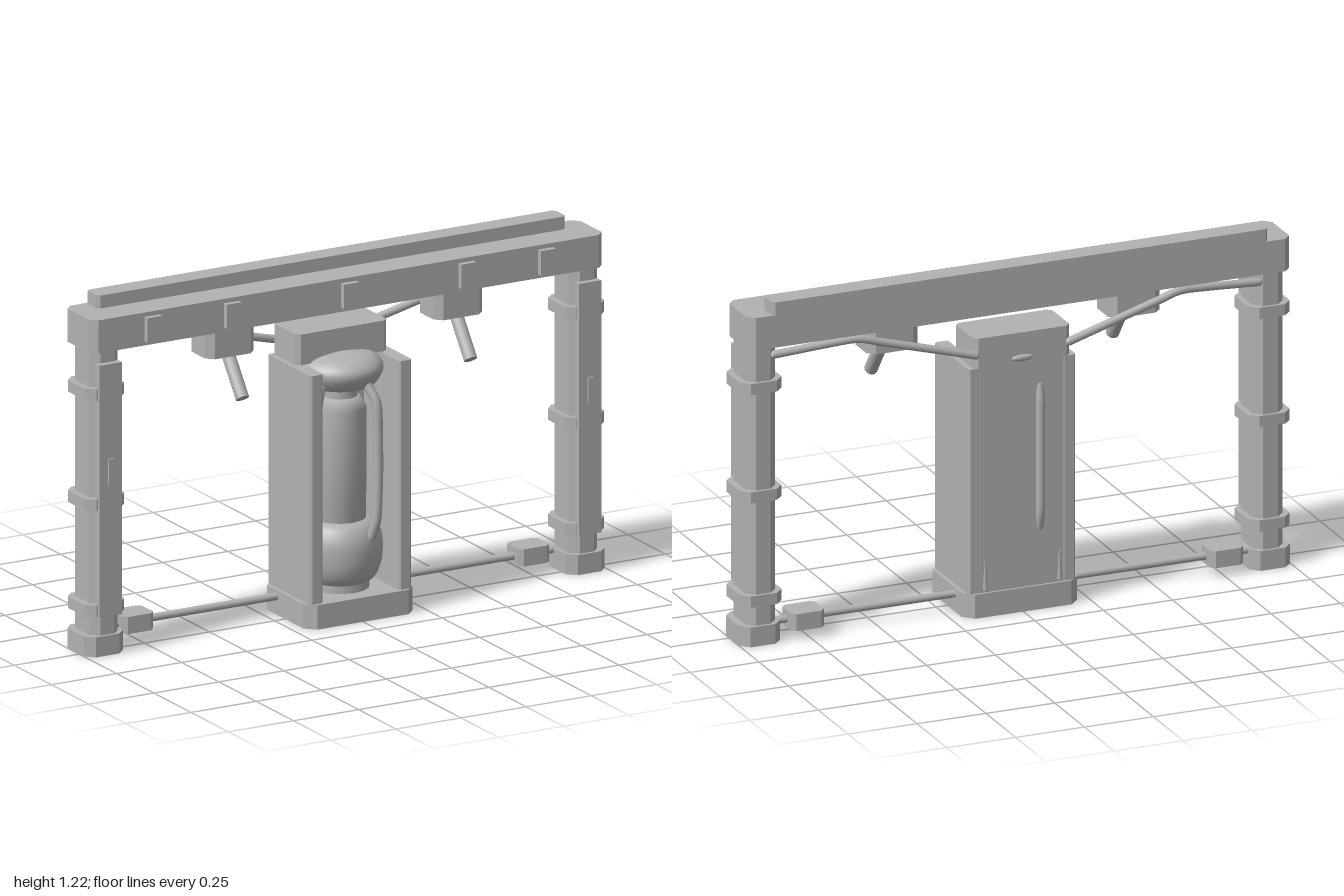
import * as THREE from 'three';

const grey = new THREE.MeshStandardMaterial({ color: 0xb2b2b2 });
grey.name = 'plain grey';

export function createModel() {
  const root = new THREE.Group();
  root.name = 'gate';

  const add = (name, geometry) => {
    const mesh = new THREE.Mesh(geometry, grey);
    mesh.name = name;
    root.add(mesh);
    return mesh;
  };

  // Box given by its limits, with the vertical edges cut by c
  const block = (name, x0, x1, y0, y1, z0, z1, c = 0) => {
    let g;
    if (c > 0) {
      const s = new THREE.Shape([
        [x0 + c, -z1], [x1 - c, -z1], [x1, -z1 + c], [x1, -z0 - c],
        [x1 - c, -z0], [x0 + c, -z0], [x0, -z0 - c], [x0, -z1 + c],
      ].map(([x, y]) => new THREE.Vector2(x, y)));
      g = new THREE.ExtrudeGeometry(s, { depth: y1 - y0, bevelEnabled: false });
      g.rotateX(-Math.PI / 2).translate(0, y0, 0);
    } else {
      g = new THREE.BoxGeometry(x1 - x0, y1 - y0, z1 - z0);
      g.translate((x0 + x1) / 2, (y0 + y1) / 2, (z0 + z1) / 2);
    }
    return add(name, g);
  };
  // Same block on both sides, described for the +x side
  const pair = (name, x0, x1, ...rest) => {
    block(name + 'Left', x0, x1, ...rest);
    block(name + 'Right', -x1, -x0, ...rest);
  };
  // Straight round rod between two points
  const rod = (name, a, b, r) => {
    const p = new THREE.Vector3(...a), q = new THREE.Vector3(...b);
    const d = q.clone().sub(p);
    const m = add(name, new THREE.CylinderGeometry(r, r, d.length(), 16));
    m.position.copy(p).lerp(q, 0.5);
    m.quaternion.setFromUnitVectors(new THREE.Vector3(0, 1, 0), d.normalize());
  };
  const hose = (name, pts, r, tension = 0.3) => {
    const curve = new THREE.CatmullRomCurve3(pts.map(p => new THREE.Vector3(...p)), false, 'catmullrom', tension);
    add(name, new THREE.TubeGeometry(curve, 32, r, 12));
    for (const i of [0, pts.length - 1]) {
      add(name + 'End', new THREE.SphereGeometry(r, 12, 8)).position.set(...pts[i]);
    }
  };
  const lathe = (name, pts, smooth) => {
    let v = pts.map(p => new THREE.Vector2(...p));
    if (smooth) v = new THREE.SplineCurve(v).getPoints(24).map(p => p.setX(Math.max(p.x, 0)));
    return add(name, new THREE.LatheGeometry(v, 32));
  };

  // Overhead beam, top rail and front plates
  block('beam', -0.985, 0.985, 1.06, 1.175, -0.13, 0.06, 0.025);
  block('topRail', -0.9, 0.9, 1.175, 1.22, -0.13, -0.052, 0.012);
  for (const x of [-0.755, -0.45, 0, 0.45, 0.755]) {
    block('beamPlate', x - 0.029, x + 0.029, 1.075, 1.16, 0.055, 0.08);
  }

  // Posts with feet, clamps and front covers
  pair('foot', 0.85, 1.0, 0, 0.07, -0.11, 0.06, 0.03);
  pair('post', 0.865, 0.975, 0.07, 1.06, -0.1, 0.05, 0.028);
  for (const y of [0.16, 0.53, 0.915]) pair('clamp', 0.845, 0.998, y - 0.02, y + 0.02, -0.11, 0.06, 0.03);
  pair('postCover', 0.877, 0.963, 0.14, 1.02, 0.045, 0.072);
  pair('coverSlot', 0.91, 0.93, 0.6, 0.69, 0.07, 0.079);

  // Low cross bars with junction boxes
  pair('junctionBox', 0.7, 0.82, 0.035, 0.095, -0.115, -0.015, 0.015);
  for (const s of [-1, 1]) {
    rod('crossBar', [s * 0.19, 0.063, -0.06], [s * 0.87, 0.063, -0.06], 0.013);
    // Cables from the posts to the cabinet
    hose('cable', [[s * 0.88, 1.02, -0.09], [s * 0.6, 1.043, -0.115], [s * 0.5, 1.02, -0.122], [s * 0.17, 0.932, -0.145]], 0.014);
    // Hanging lamps
    rod('lampTube', [s * 0.438, 0.99, -0.002], [s * 0.438, 0.836, 0.113], 0.023);
  }
  pair('lampBox', 0.345, 0.532, 0.966, 1.06, -0.09, 0.05, 0.025);

  // Open cabinet
  block('cabinetBase', -0.21, 0.21, 0, 0.085, -0.155, 0.157, 0.035);
  pair('cabinetWall', 0.145, 0.195, 0.085, 0.883, -0.145, 0.145, 0.008);
  block('cabinetBack', -0.15, 0.15, 0.085, 0.89, -0.146, -0.09);
  block('cabinetCap', -0.175, 0.175, 0.883, 0.99, -0.147, 0.02, 0.015);

  // Vessel inside the cabinet
  lathe('vesselTop', [[0, 0.79], [0.1, 0.79], [0.138, 0.825], [0.143, 0.865], [0.1, 0.898], [0, 0.912]], true);
  lathe('vesselBody', [[0, 0.3], [0.088, 0.3], [0.09, 0.71], [0.065, 0.752], [0, 0.752]], false);
  lathe('vesselBottom', [[0, 0.108], [0.1, 0.112], [0.135, 0.16], [0.144, 0.23], [0.135, 0.285], [0.1, 0.325], [0, 0.332]], true);
  rod('vesselNeck', [0, 0.74, 0], [0, 0.81, 0], 0.06);
  rod('vesselStand', [0, 0.08, 0], [0, 0.12, 0], 0.1);

  // Front hoses and back handle
  hose('frontHoseLeft', [[0.04, 0.81, 0.115], [0.06, 0.74, 0.147], [0.064, 0.52, 0.148], [0.058, 0.35, 0.147], [0.05, 0.28, 0.125]], 0.016);
  hose('frontHoseRight', [[-0.112, 0.81, 0.07], [-0.135, 0.7, 0.08], [-0.14, 0.5, 0.08], [-0.137, 0.37, 0.08], [-0.125, 0.28, 0.07]], 0.015);
  hose('backHandle', [[-0.065, 0.79, -0.135], [-0.065, 0.73, -0.147], [-0.065, 0.53, -0.147], [-0.065, 0.35, -0.147], [-0.065, 0.29, -0.135]], 0.016);

  // Small details on the back panel
  const bump = add('backBump', new THREE.SphereGeometry(1, 16, 10));
  bump.scale.set(0.04, 0.012, 0.01);
  bump.position.set(0, 0.9, -0.147);
  for (const s of [-1, 1]) {
    const spike = add('backSpike', new THREE.ConeGeometry(0.009, 0.13, 10));
    spike.position.set(s * 0.135, 0.16, -0.146);
  }

  return root;
}
